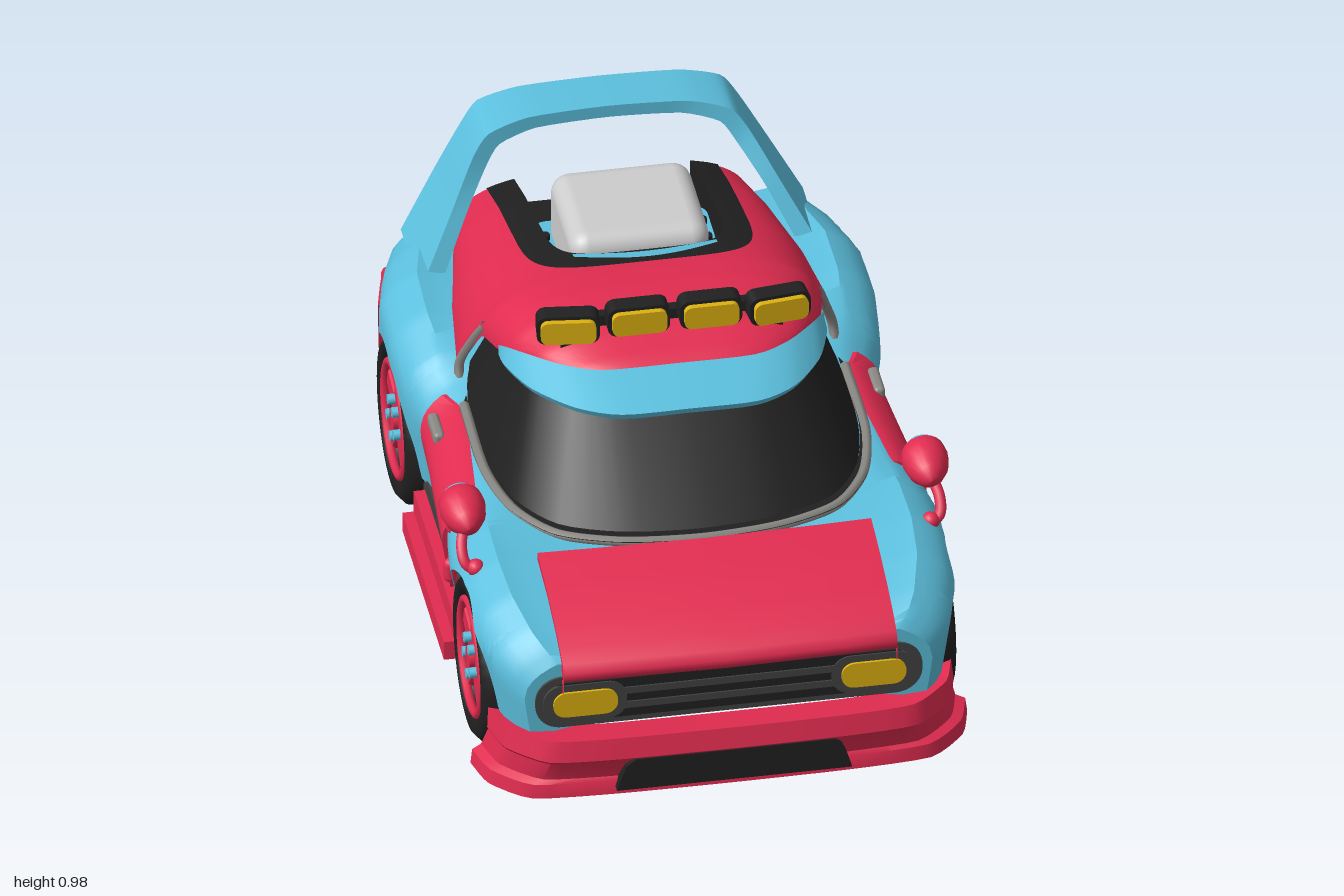
import * as THREE from 'three';
import { toCreasedNormals } from 'three/addons/utils/BufferGeometryUtils.js';
import { RoundedBoxGeometry } from 'three/addons/geometries/RoundedBoxGeometry.js';

const mat = (name, color) => new THREE.MeshStandardMaterial({ name, color, side: THREE.DoubleSide });

export function createModel() {
  const red = mat('red paint', 0xe22c50), blue = mat('blue paint', 0x5cc0de), black = mat('black', 0x202020);
  const dark = mat('dark grey', 0x424242), grey = mat('grey trim', 0x8a8884), silver = mat('silver', 0xcccccc);
  const yellow = mat('yellow lamp', 0xdcb010);
  const car = new THREE.Group();
  car.name = 'car';

  const add = (name, geo, material, x = 0, y = 0, z = 0, parent = car) => {
    const m = new THREE.Mesh(geo, material);
    m.name = name;
    m.position.set(x, y, z);
    parent.add(m);
    return m;
  };
  const box = (w, h, d, r = 0) => r ? new RoundedBoxGeometry(w, h, d, 3, r) : new THREE.BoxGeometry(w, h, d);
  // surface through rows of [x, y, z] points
  const grid = (rows, skip = () => false, crease = 0.6) => {
    const n = rows[0].length, idx = [];
    for (let i = 0; i < rows.length - 1; i++) for (let j = 0; j < n - 1; j++) {
      const a = i * n + j, c = a + n;
      if (!skip(rows[i][j], rows[i + 1][j + 1])) idx.push(a, c, a + 1, a + 1, c, c + 1);
    }
    const g = new THREE.BufferGeometry();
    g.setAttribute('position', new THREE.Float32BufferAttribute(rows.flat(2), 3));
    g.setIndex(idx);
    return toCreasedNormals(g, crease);
  };
  // half outline (centre to side) mirrored and smoothed
  const mirrorRow = (half, tension = 0.4) => new THREE.CatmullRomCurve3(
    [...half.slice(1).reverse().map(([x, y, z]) => [-x, y, z]), ...half].map(p => new THREE.Vector3(...p)),
    false, 'catmullrom', tension).getPoints((half.length - 1) * 8).map(p => p.toArray());
  const band = (halves, tension) => grid(halves.map(h => mirrorRow(h, tension)));
  // flat rounded plate in the xy plane
  const plate = (w, h, d, r) => {
    const s = new THREE.Shape(), a = w / 2, b = h / 2, q = Math.PI / 2;
    s.absarc(a - r, b - r, r, 0, q).absarc(r - a, b - r, r, q, 2 * q);
    s.absarc(r - a, r - b, r, 2 * q, 3 * q).absarc(a - r, r - b, r, 3 * q, 4 * q);
    return new THREE.ExtrudeGeometry(s, { depth: d, bevelEnabled: false, curveSegments: 6 }).translate(0, 0, -d / 2);
  };
  const tube = (pts, r, sides = 8, steps = 40) => new THREE.TubeGeometry(
    new THREE.CatmullRomCurve3(pts.map(p => new THREE.Vector3(...p))), steps, r, sides);
  const cylZ = (r, d, r2 = r) => new THREE.CylinderGeometry(r, r2, d, 20).rotateX(Math.PI / 2);
  const cylX = (r, d) => new THREE.CylinderGeometry(r, r, d, 24).rotateZ(Math.PI / 2);
  const lathe = (pts, n) => new THREE.LatheGeometry(pts.map(p => new THREE.Vector2(...p)), n);
  const sample = (keys, z) => {
    let i = 0;
    while (i < keys.length - 2 && z < keys[i + 1][0]) i++;
    const t = (z - keys[i][0]) / (keys[i + 1][0] - keys[i][0]);
    return keys[i].map((v, k) => v + (keys[i + 1][k] - v) * t);
  };

  // Body shell: z, half width, shoulder height, centre height
  const bodyKeys = [[.905, .55, .425, .405], [.87, .58, .455, .425], [.82, .605, .48, .45], [.7, .635, .515, .485], [.56, .645, .533, .505],
    [.4, .642, .53, .512], [.25, .625, .52, .515], [0, .607, .515, .515], [-.18, .592, .52, .525], [-.26, .602, .535, .54], [-.34, .628, .57, .56],
    [-.48, .642, .605, .58], [-.65, .638, .612, .58], [-.8, .603, .598, .57], [-.93, .56, .57, .55]];
  const axles = [.56, -.54], R = .23;
  const bodyX = (y, z) => {
    const [, w, sh] = sample(bodyKeys, z);
    return w - .1 * Math.max(0, (y - sh + .12) / .12) ** 2.5 - .03 * Math.max(0, (.4 - y) / .2);
  };
  const bodyHalf = z => {
    const [, w, sh, t] = sample(bodyKeys, z);
    let b = .205;
    for (const c of axles) if (Math.abs(z - c) < R) b = Math.max(b, .235 + Math.sqrt(R * R - (z - c) ** 2));
    const h = [0, .2, .4, .55, .7, .8, .88, .95, 1].map(f => b + (sh - b) * f).map(y => [bodyX(y, z), y, z]);
    return [...h, [w - .16, (sh + t) / 2, z], [(w - .16) / 2, t, z], [0, t, z]];
  };
  const zs = Array.from({ length: 92 }, (_, i) => .905 - i * 1.835 / 91);
  for (const c of axles) for (const s of [-1, 1]) for (const d of [0, .0005, .003, .008, .016, .028]) zs.push(c + s * (R - d));
  const full = h => [...h, ...h.slice(0, -1).reverse().map(([x, y, z]) => [-x, y, z])];
  const bodyRows = zs.sort((a, b) => b - a).map(z => full(bodyHalf(z)));
  add('bodyShell', grid(bodyRows), blue);
  for (const row of [bodyRows[0], bodyRows.at(-1)])
    add('bodyEnd', grid([row, row.map(p => [0, .3, p[2]])]), blue);

  // Hood with folded edges and a rounded front
  const hood = [[.58, .537], [.7, .516], [.82, .484], [.9, .455], [.945, .432], [.962, .412], [.962, .395], [.95, .38], [.9, .378]];
  add('hood', grid(hood.map(([z, y]) => [[-.44, y - .04], [-.44, y], [-.3, y + .006], [0, y + .01], [.3, y + .006], [.44, y], [.44, y - .04]]
    .map(([x, v]) => [x, v, z - .13 * x * x])), undefined, 0.9), red);

  // Glass, its seal, trim and the visor
  const sill = [[0, .515, .505], [.2, .515, .485], [.36, .515, .42], [.45, .515, .29], [.49, .515, .1], [.49, .515, -.2], [.47, .515, -.33]];
  add('glass', band([sill, [[0, .78, .25], [.18, .78, .24], [.28, .78, .2], [.36, .78, .1], [.39, .77, 0], [.4, .76, -.15], [.41, .75, -.21]]]), black);
  const outer = sill.slice(0, -1).map(([x, , z]) => [x * 1.025, .52, z + .035]);
  add('glassSeal', band([sill, outer].map((r, i) => r.slice(0, 6).map(([x, , z]) => [x * (1 + i * .015), .526, z + .015 * i]))), black);
  add('sillTrim', tube(mirrorRow(outer), .014, 6, 120), grey);
  const lip = [[0, .812, .37], [.18, .807, .36], [.29, .792, .285], [.38, .765, .14], [.425, .748, 0], [.43, .742, -.06]];
  const top = [[0, .84, .2], [.2, .835, .19], [.3, .825, .13], [.38, .803, .03], [.415, .785, -.03], [.428, .765, -.07]];
  add('visor', band([top, lip, lip.map(([x, y, z]) => [x * .98, y - .02, z - .01]), top.map(([x, y, z]) => [x * .95, y - .07, z])]), blue);

  // Roof: z, half width, edge height, centre height
  const roofKeys = [[.205, .18, .82, .836], [.17, .27, .805, .852], [.08, .355, .785, .876], [-.03, .41, .755, .887], [-.1, .428, .735, .887],
    [-.2, .447, .71, .872], [-.31, .495, .55, .85], [-.5, .475, .56, .805], [-.75, .425, .57, .745], [-.93, .385, .56, .685]];
  const roofY = (x, z) => {
    const [, w, lo, hi] = sample(roofKeys, z);
    return lo + (hi - lo) * Math.max(0, 1 - Math.min(1, Math.abs(x) / w) ** 3.6) ** .52;
  };
  const roofRows = Array.from({ length: 70 }, (_, i) => .205 - i * 1.135 / 69).map(z => Array.from({ length: 65 }, (_, j) => {
    const x = sample(roofKeys, z)[1] * Math.sin((j / 64 - .5) * Math.PI);
    return [x, roofY(x, z), z];
  }));
  roofRows.push(roofRows.at(-1).map(([x, , z]) => [x, .55, z]));
  add('roof', grid(roofRows, (p, q) => ((p[0] + q[0]) / .52) ** 4 + (Math.max(0, (p[2] + q[2]) / 2 + .57) / .3) ** 4 < 1), red);

  // Engine opening, open to the rear, with surround, crescent, deck and scoop
  const arch = (a, b, drop) => Array.from({ length: 53 }, (_, i) => {
    const t = Math.min(Math.max(i - 10, 0), 32) / 32 * Math.PI, e = v => Math.sign(v) * Math.sqrt(Math.abs(v));
    const back = Math.max(10 - i, i - 42, 0) * .035;
    const x = a * e(Math.cos(t)), z = -.57 + b * Math.sqrt(Math.max(0, Math.sin(t))) - back;
    return [x, drop ? .56 : roofY(x, z) + .008, z];
  });
  add('openingSurround', grid([arch(.305, .35), arch(.28, .32), arch(.25, .3), arch(.232, .275), arch(.232, .275, true)]), black);
  add('openingFloor', box(.5, .04, .66), black, 0, .585, -.595);
  add('crescent', grid([0, .035].map(d => Array.from({ length: 21 }, (_, i) => {
    const x = (i - 10) * .019, z = -.238 - d * (1 - .5 * (x / .19) ** 2) - 1.5 * x * x;
    return [x, roofY(x, z) + .014, z];
  }))), blue);
  add('engineDeck', plate(.46, .37, .04, .04).rotateX(Math.PI / 2), blue, 0, .68, -.51);
  add('airScoop', box(.37, .24, .345, .05), silver, 0, .75, -.518);

  // Rear wing hoop: x, y, front z, rear z
  const hoop = [[0, .945, -.835, -.975], [.21, .938, -.83, -.975], [.32, .912, -.81, -.97], [.365, .855, -.79, -.96], [.435, .73, -.725, -.95], [.53, .56, -.64, -.925]];
  const edge = (k, inner) => hoop.map(p => inner ? [p[0] * .91, p[1] - (p[0] > .4 ? .01 : .035), p[k]] : [p[0], p[1], p[k]]);
  add('rearWing', band([edge(2), edge(3), edge(3, true), edge(2, true), edge(2)], .3), blue);

  // Front bumper, intake, grille
  const nose = (y, z, x) => [[0, y, z], [.3, y, z - .003], [x - .13, y, z - .02], [x - .03, y, z - .11], [x, y, z - .21]];
  add('frontBumper', band([nose(.21, .89, .56), nose(.225, .985, .61), nose(.168, .998, .615), nose(.152, .982, .61),
    nose(.095, .965, .625), nose(.085, .972, .65), nose(.045, .975, .655), nose(.045, .85, .55)], .3), red);
  const intake = new THREE.Shape([[-.31, .068], [.31, .068], [.3, .1], [.285, .14], [.26, .16], [-.26, .16], [-.285, .14], [-.3, .1]].map(p => new THREE.Vector2(...p)));
  add('lowerIntake', new THREE.ExtrudeGeometry(intake, { depth: .03, bevelEnabled: false }), black, 0, 0, .963);
  add('grilleFrame', plate(1.02, .155, .03, .07), dark, 0, .308, .897);
  add('grille', plate(.97, .12, .03, .055), black, 0, .308, .901);
  for (const y of [.285, .33]) add('grilleBar', box(.6, .02, .02), dark, 0, y, .91);

  // Rear bumper, diffuser, light panel and exhaust
  const tail = (y, z, x, side = y) => [[0, y, z], [.3, y, z + .003], [x - .06, y + (side - y) * .7, z + .015], [x - .028, side, z + .08], [x, side, z + .19]];
  add('rearBumper', band([tail(.42, -.92, .56), tail(.412, -.98, .615, .425), tail(.3, -.968, .615), tail(.2, -.94, .605), tail(.2, -.85, .5)], .3), red);
  add('rearLip', band([tail(.11, -.9, .55, .17), tail(.11, -.955, .605, .175), tail(.05, -.968, .605), tail(.05, -.85, .52)], .3), red);
  add('diffuser', box(.95, .12, .04), black, 0, .15, -.88);
  for (let i = -9; i <= 9; i++) add('diffuserFin', box(.018, .1, .07), black, i * .05, .155, -.905);
  add('lightPanel', plate(1.04, .12, .03, .05), black, 0, .475, -.935);
  add('exhaustFrame', plate(.2, .18, .04, .03), grey, 0, .25, -.965);
  add('exhaustPlate', plate(.17, .15, .04, .025), black, 0, .25, -.97);
  for (const x of [-.038, .038]) for (const y of [.215, .285])
    add('exhaustPipe', new THREE.TorusGeometry(.026, .009, 8, 16), dark, x, y, -.99);

  // Underside
  add('frontPan', box(.32, .09, .34), dark, 0, .16, .42);
  add('driveTunnel', cylZ(.06, .85), dark, 0, .19, -.1);
  add('differential', new THREE.SphereGeometry(.12, 20, 14), silver, 0, .22, -.54);
  for (const z of axles) add('axle', new THREE.CylinderGeometry(.025, .025, .9, 12).rotateZ(Math.PI / 2), dark, 0, .235, z);

  // Tyre, star spokes and mirror housing
  const tyre = lathe([[.14, -.1], [.2, -.112], [.224, -.09], [.232, -.05], [.232, .05], [.224, .09], [.2, .112], [.155, .1], [.15, .03]], 40).rotateZ(-Math.PI / 2);
  const star = new THREE.Shape(Array.from({ length: 20 }, (_, i) => {
    const k = i % 4, a = (Math.floor(i / 4) + [-.13, .13, .4, .6][k]) * Math.PI * .4 + Math.PI / 2, r = k < 2 ? .15 : .068;
    return new THREE.Vector2(Math.cos(a) * r, Math.sin(a) * r);
  }));
  const spokes = new THREE.ExtrudeGeometry(star, { depth: .035, bevelEnabled: true, bevelSize: .004, bevelThickness: .006, bevelSegments: 1 }).rotateY(Math.PI / 2);
  const mirror = lathe([[.0001, -.065], [.045, -.064], [.058, -.05], [.061, -.02], [.054, .02], [.036, .055], [.018, .075], [.0001, .08]], 20).rotateX(Math.PI / 2);

  // Everything that comes in left and right pairs
  for (const s of [1, -1]) {
    const side = new THREE.Group();
    side.name = s > 0 ? 'leftSide' : 'rightSide';
    car.add(side);
    const put = (name, geo, m, x, y, z) => add(name, geo, m, x * s, y, z, side);
    const flip = pts => pts.map(([x, y, z]) => [x * s, y, z]);
    for (const z of axles) {
      const wheel = new THREE.Group();
      wheel.name = z > 0 ? 'frontWheel' : 'rearWheel';
      wheel.position.set(.515 * s, .235, z);
      wheel.rotation.y = s > 0 ? 0 : Math.PI;
      side.add(wheel);
      add('tyre', tyre, black, 0, 0, 0, wheel);
      add('rimDish', cylX(.152, .1), red, -.02, 0, 0, wheel);
      add('innerHub', cylX(.14, .02), red, -.075, 0, 0, wheel);
      add('rimEdge', new THREE.TorusGeometry(.152, .012, 8, 36).rotateY(Math.PI / 2), red, .1, 0, 0, wheel);
      add('spokes', spokes, red, .055, 0, 0, wheel);
      add('hubCap', cylX(.03, .02), red, .1, 0, 0, wheel);
      for (let i = 0; i < 5; i++) {
        const a = (i + .5) * Math.PI * .4 + Math.PI / 2;
        add('wheelBolt', cylX(.014, .03), blue, .1, Math.sin(a) * .052, Math.cos(a) * .052, wheel);
      }
    }
    // Door follows the body side, with rounded lower corners
    const door = Array.from({ length: 19 }, (_, i) => Array.from({ length: 13 }, (_, j) => {
      const v = Math.min(Math.max(i - 1, 0), 16) / 16, u = Math.min(Math.max(j - 1, 0), 10) / 10;
      const cut = .04 * (1 - Math.sqrt(1 - Math.max(0, 1 - v / .14) ** 2)), rim = i % 18 === 0 || j % 12 === 0;
      const y = .225 + v * .285, z = .255 + .02 * v - cut - u * (.42 + .09 * v - 2 * cut);
      return [s * (bodyX(y, z) + (rim ? -.01 : .012)), y, z];
    }));
    add('door', grid(door), red, 0, 0, 0, side);
    put('doorHandle', box(.03, .036, .11, .012), grey, bodyX(.472, -.14) + .014, .472, -.14);
    for (const y of [.315, .465]) put('doorHinge', new THREE.CapsuleGeometry(.018, .035, 4, 10), red, bodyX(y, .275) + .004, y, .275);
    put('windowTrim', tube(flip([[.495, .52, -.27], [.492, .57, -.285], [.465, .66, -.25], [.44, .74, -.2]]), .013, 6), grey, 0, 0, 0);
    // Sill and stepped skirt
    put('sill', box(.04, .1, .66), dark, .56, .165, 0);
    put('skirt', box(.07, .07, .6), red, .575, .135, 0);
    put('skirtStep', box(.13, .055, .6), red, .575, .078, 0);
    put('chassisRail', tube(flip([[.2, .2, .7], [.27, .17, .45], [.32, .13, .25], [.32, .13, -.2], [.27, .18, -.45], [.2, .22, -.75]]), .045, 4), dark, 0, 0, 0);
    // Mirror
    put('mirror', mirror, red, .61, .597, .425);
    put('mirrorFace', cylZ(.046, .012), blue, .61, .597, .36);
    put('mirrorStem', tube(flip([[.6, .49, .54], [.625, .51, .53], [.63, .545, .5], [.612, .59, .45]]), .015), red, 0, 0, 0);
    put('mirrorFoot', new THREE.SphereGeometry(.024, 12, 8), red, .6, .5, .54);
    // Headlight and tail lights
    put('headlightBezel', plate(.22, .115, .03, .05), dark, .38, .307, .905);
    put('headlight', plate(.17, .075, .03, .034), yellow, .38, .307, .912);
    [[.43, yellow], [.32, yellow], [.21, red]].forEach(([x, m]) => {
      put('tailLightRing', cylZ(.047, .03), grey, x, .475, -.955);
      put('tailLight', cylZ(.038, .05, .03), m, x, .475, -.963);
    });
    // Roof lamps and deck bolts
    [[.095, .94, .095, 0], [.275, .925, .085, .12]].forEach(([x, y, z, turn]) => {
      const lamp = new THREE.Group();
      lamp.name = 'roofLamp';
      lamp.position.set(x * s, y, z);
      lamp.rotation.y = turn * s;
      side.add(lamp);
      add('lampCase', plate(.164, .084, .05, .025), black, 0, 0, .015, lamp);
      add('lampBack', box(.12, .055, .05, .015), black, 0, -.008, -.025, lamp);
      add('lampLens', plate(.144, .066, .024, .02), yellow, 0, 0, .044, lamp);
      add('lampPost', box(.035, .07, .03), black, 0, -.055, -.012, lamp);
    });
    put('lampBar', box(.3, .03, .03), black, .15, .92, .075);
    for (let i = 0; i < 4; i++) put('deckBolt', new THREE.CylinderGeometry(.014, .014, .02, 10), black, .207, .705, -.39 - i * .075);
  }
  return car;
}
